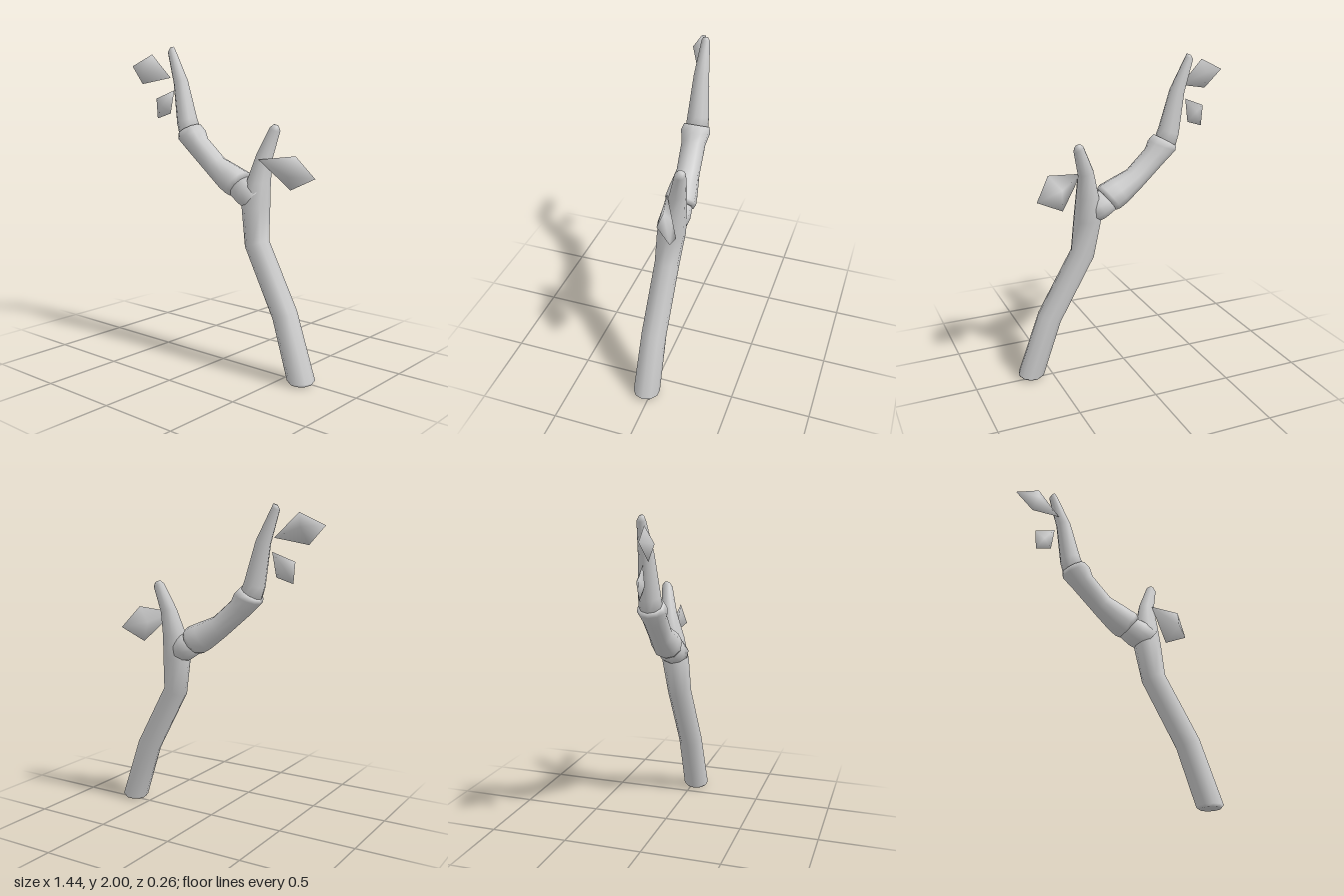
import * as THREE from 'three';

const SIDES = 10;

// Skin a limb over rings [x, y, z, radius, tilt in degrees about z], closed at both ends
function limb(rings) {
  const all = [[...rings[0]], ...rings, [...rings[rings.length - 1]]];
  all[0][3] = 0;
  all[all.length - 1][3] = 0;
  const pos = [], idx = [];
  all.forEach(([x, y, z, r, tilt], k) => {
    const t = THREE.MathUtils.degToRad(tilt);
    for (let i = 0; i < SIDES; i++) {
      const a = (i / SIDES) * Math.PI * 2, c = r * Math.cos(a);
      pos.push(x + c * Math.cos(t), y + c * Math.sin(t), z + r * Math.sin(a));
      if (k === 0) continue;
      const p = (k - 1) * SIDES, q = k * SIDES, j = (i + 1) % SIDES;
      idx.push(p + j, p + i, q + i, p + j, q + i, q + j);
    }
  });
  return geometry(pos, idx);
}

// Thick diamond leaf: four rim corners counter-clockwise from the front, plus front and back peaks
function leaf(rim, front, back) {
  const idx = [];
  for (let i = 0; i < 4; i++) {
    const j = (i + 1) % 4;
    idx.push(i, j, 4, j, i, 5);
  }
  return geometry([...rim, front, back].flat(), idx);
}

function geometry(pos, idx) {
  const g = new THREE.BufferGeometry();
  g.setAttribute('position', new THREE.Float32BufferAttribute(pos, 3));
  g.setIndex(idx);
  g.computeVertexNormals();
  return g;
}

export function createModel() {
  const group = new THREE.Group();
  const grey = new THREE.MeshStandardMaterial({ color: 0xcccccc });
  grey.name = 'grey';
  const add = (name, geo) => {
    const mesh = new THREE.Mesh(geo, grey);
    mesh.name = name;
    group.add(mesh);
  };

  // Main stem running from the cut base up to the short twig
  add('mainStem', limb([
    [0.635, 0.005, 0.027, 0.068, 2],
    [0.635, 0.022, 0.027, 0.084, 3],
    [0.503, 0.4, 0.018, 0.078, 24],
    [0.278, 0.805, 0.006, 0.077, 19],
    [0.25, 1.03, -0.015, 0.088, 0],
    [0.255, 1.18, -0.035, 0.074, -2],
    [0.275, 1.34, -0.068, 0.051, -14],
    [0.329, 1.5, -0.097, 0.034, -25],
    [0.335, 1.522, -0.1, 0.018, -25],
  ]));

  // Stub that flares out of the stem into the fork
  add('forkStub', limb([
    [0.25, 1.07, -0.012, 0.085, 50],
    [0.18, 1.11, -0.02, 0.09, 62],
    [0.1, 1.15, -0.022, 0.078, 52],
  ]));

  // Side branch swelling into a collar
  add('sideBranch', limb([
    [0.122, 1.143, -0.022, 0.088, 52],
    [0.1, 1.16, -0.022, 0.098, 52],
    [0.04, 1.19, -0.018, 0.092, 57],
    [-0.072, 1.257, -0.012, 0.073, 53],
    [-0.215, 1.385, 0, 0.075, 38],
    [-0.262, 1.443, 0.002, 0.092, 22],
    [-0.285, 1.475, 0.002, 0.08, 30],
  ]));

  // Upper shoot growing out of the collar
  add('upperShoot', limb([
    [-0.275, 1.44, 0, 0.072, 25],
    [-0.307, 1.53, 0, 0.067, 18],
    [-0.361, 1.78, 0, 0.047, 14],
    [-0.44, 1.975, 0, 0.026, 22],
    [-0.437, 1.998, 0, 0.014, 22],
  ]));

  add('rightLeaf', leaf(
    [[0.28, 1.32, 0], [0.44, 1.135, -0.11], [0.605, 1.215, -0.13], [0.51, 1.35, -0.06]],
    [0.49, 1.23, -0.01], [0.43, 1.255, -0.085]));
  add('topLeaf', leaf(
    [[-0.41, 1.805, 0.043], [-0.56, 1.955, 0.06], [-0.72, 1.88, 0.085], [-0.61, 1.765, 0.1]],
    [-0.58, 1.86, 0.126], [-0.58, 1.87, 0.035]));
  add('smallLeaf', leaf(
    [[-0.42, 1.725, 0], [-0.56, 1.67, 0.025], [-0.55, 1.54, 0.025], [-0.445, 1.575, 0.01]],
    [-0.5, 1.62, 0.04], [-0.5, 1.64, -0.01]));

  return group;
}
